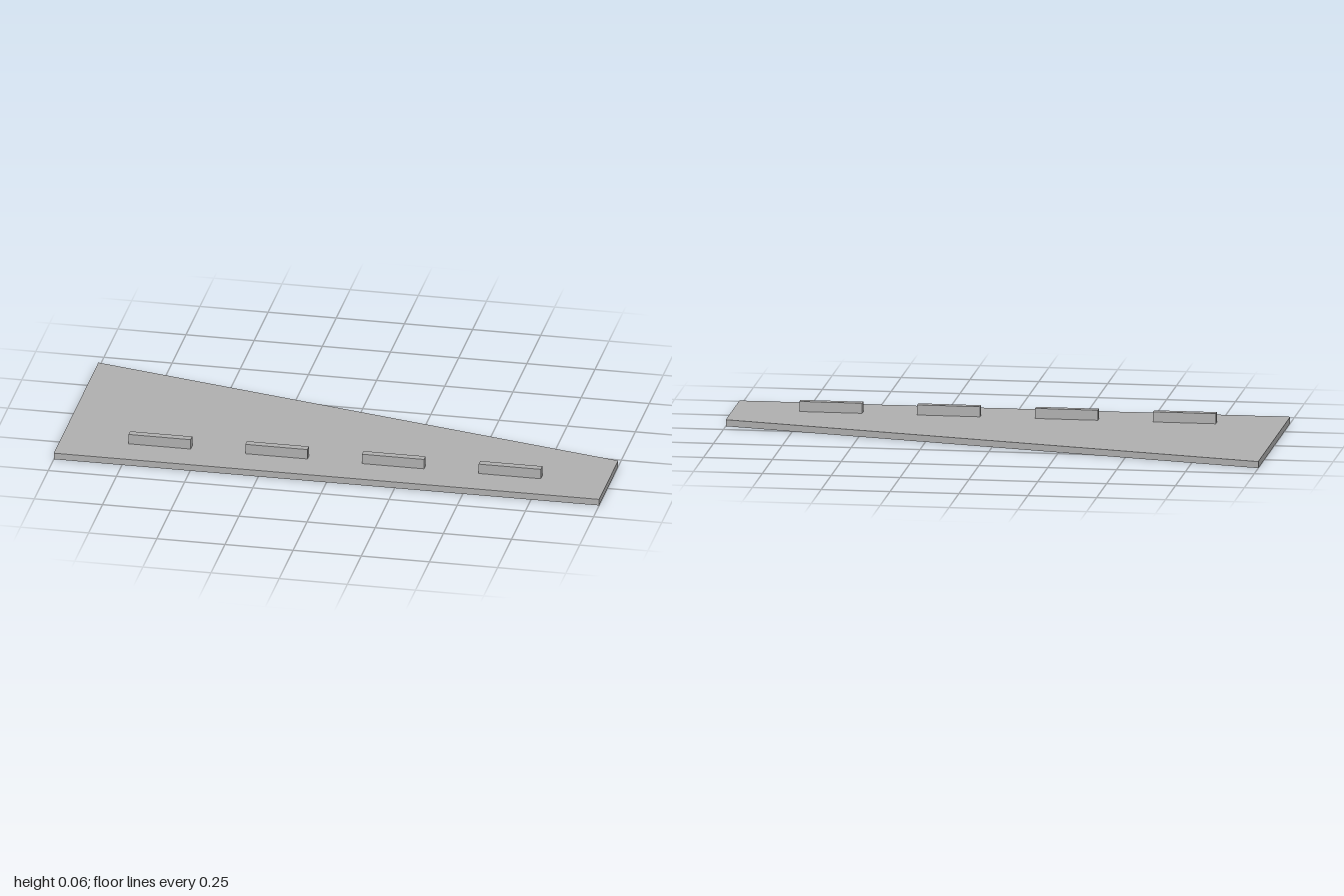
import * as THREE from 'three';

export function createModel() {
  const group = new THREE.Group();
  const gray = new THREE.MeshStandardMaterial({ color: 0xb2b2b2 });
  gray.name = 'gray';
  const thickness = 0.024;

  // Tapered plate: outline drawn in plan (y = -z), then laid flat
  const outline = new THREE.Shape([
    new THREE.Vector2(-1, -0.4),
    new THREE.Vector2(1, -0.4),
    new THREE.Vector2(1, -0.058),
    new THREE.Vector2(-1, 0.4),
  ]);
  const plateGeometry = new THREE.ExtrudeGeometry(outline, { depth: thickness, bevelEnabled: false });
  plateGeometry.rotateX(-Math.PI / 2);
  const plate = new THREE.Mesh(plateGeometry, gray);
  plate.name = 'plate';
  group.add(plate);

  // Row of raised bars along the straight front edge
  const height = 0.037;
  const barGeometry = new THREE.BoxGeometry(0.228, height, 0.028);
  for (let i = 0; i < 4; i++) {
    const bar = new THREE.Mesh(barGeometry, gray);
    bar.name = `bar${i + 1}`;
    bar.position.set(-0.639 + 0.428 * i, thickness + height / 2, 0.253);
    group.add(bar);
  }
  return group;
}
